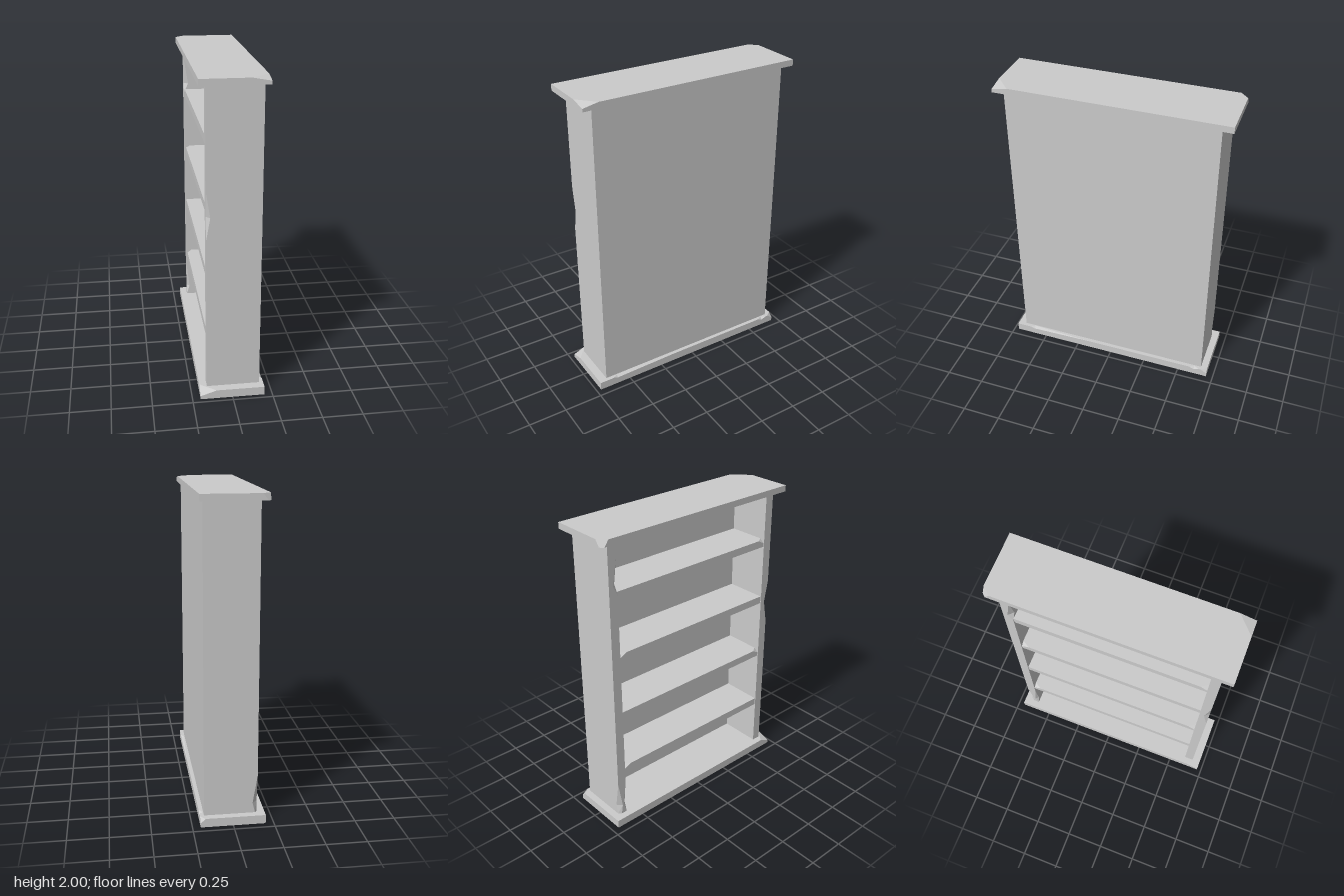
import * as THREE from 'three';
import { ConvexGeometry } from 'three/addons/geometries/ConvexGeometry.js';

const material = new THREE.MeshStandardMaterial({ color: 0xcccccc, flatShading: true });

// Board lofted along its length. Each section is [t, a, b]: a and b are the
// [width, depth] chipped off the two upper edges (u0 side and u1 side).
function board(u0, u1, v0, v1, sections) {
  const rings = sections.map(([t, a = [0, 0], b = [0, 0]]) => [
    [u0, v0], [u1, v0], [u1, v1 - b[1]], [u1 - b[0], v1], [u0 + a[0], v1], [u0, v1 - a[1]],
  ].map(([u, v]) => new THREE.Vector3(u, v, t)));
  const pos = [];
  const tri = (a, b, c) => {
    const area = b.clone().sub(a).cross(c.clone().sub(a)).length();
    if (area > 1e-8) pos.push(...a, ...b, ...c);
  };
  for (let i = 0; i < rings.length - 1; i++) {
    const p = rings[i], q = rings[i + 1];
    for (let j = 0; j < 6; j++) {
      const k = (j + 1) % 6;
      tri(p[j], p[k], q[k]);
      tri(p[j], q[k], q[j]);
    }
  }
  const first = rings[0], last = rings[rings.length - 1];
  for (let j = 1; j < 5; j++) {
    tri(first[0], first[j + 1], first[j]);
    tri(last[0], last[j], last[j + 1]);
  }
  const geometry = new THREE.BufferGeometry();
  geometry.setAttribute('position', new THREE.Float32BufferAttribute(pos, 3));
  geometry.computeVertexNormals();
  return geometry;
}

export function createModel() {
  const group = new THREE.Group();
  const add = (name, geometry) => {
    const mesh = new THREE.Mesh(geometry, material);
    mesh.name = name;
    group.add(mesh);
    return mesh;
  };

  // Top board with two broken corners
  add('topBoard', new ConvexGeometry([
    [0.2, 1.96, 0.73], [-0.2, 1.96, 0.73], [0.2, 1.96, -0.73], [0.2, 2, -0.73], [-0.2, 2, 0.73],
    [0.09, 2, 0.73], [0.2, 2, 0.63], [0.2, 1.98, 0.73],
    [-0.2, 2, -0.68], [-0.15, 2, -0.73], [-0.2, 1.96, -0.71], [-0.18, 1.96, -0.73],
  ].map((p) => new THREE.Vector3(...p))));

  // Base board with worn long edge and chipped corners
  add('baseBoard', board(-0.2, 0.2, 0, 0.055, [
    [-0.705, [0, 0], [0.03, 0.028]],
    [-0.665],
    [-0.645],
    [-0.615, [0, 0], [0.02, 0.015]],
    [-0.58],
    [0.17],
    [0.59, [0, 0], [0.02, 0.01]],
    [0.62],
    [0.64],
    [0.72, [0.1, 0.033]],
  ]));

  // Side panels: lofted upward, chipped along their edges on the open side
  const upright = new THREE.Matrix4().makeBasis(
    new THREE.Vector3(0, 0, -1), new THREE.Vector3(-1, 0, 0), new THREE.Vector3(0, 1, 0));
  add('frontSidePanel', board(-0.665, -0.605, -0.175, 0.155, [
    [0.055], [1.04], [1.18, [0.03, 0.025]], [1.34], [1.96],
  ]).applyMatrix4(upright));
  add('rearSidePanel', board(0.6, 0.66, -0.175, 0.155, [
    [0.055, [0, 0], [0.02, 0.015]],
    [0.12, [0.02, 0.02], [0.03, 0.03]],
    [0.3], [1.63],
    [1.69, [0.03, 0.03]],
    [1.87], [1.96],
  ]).applyMatrix4(upright));

  // Back panel closing the +x side
  const back = add('backPanel', new THREE.BoxGeometry(0.05, 1.905, 1.205));
  back.position.set(0.15, 1.0075, 0.0025);

  // Four shelves, chipped at alternating ends of the open edge
  for (let i = 0; i < 4; i++) {
    const y = 0.395 + i * 0.41;
    const chip = [0.03, 0.025];
    const nearChip = i % 2 === 0 ? chip : [0, 0];
    const farChip = i % 2 === 1 ? chip : [0, 0];
    add('shelf' + (i + 1), board(-0.15, 0.125, y - 0.025, y + 0.025, [
      [-0.6, nearChip], [-0.55], [0.56], [0.605, farChip],
    ]));
  }
  return group;
}
